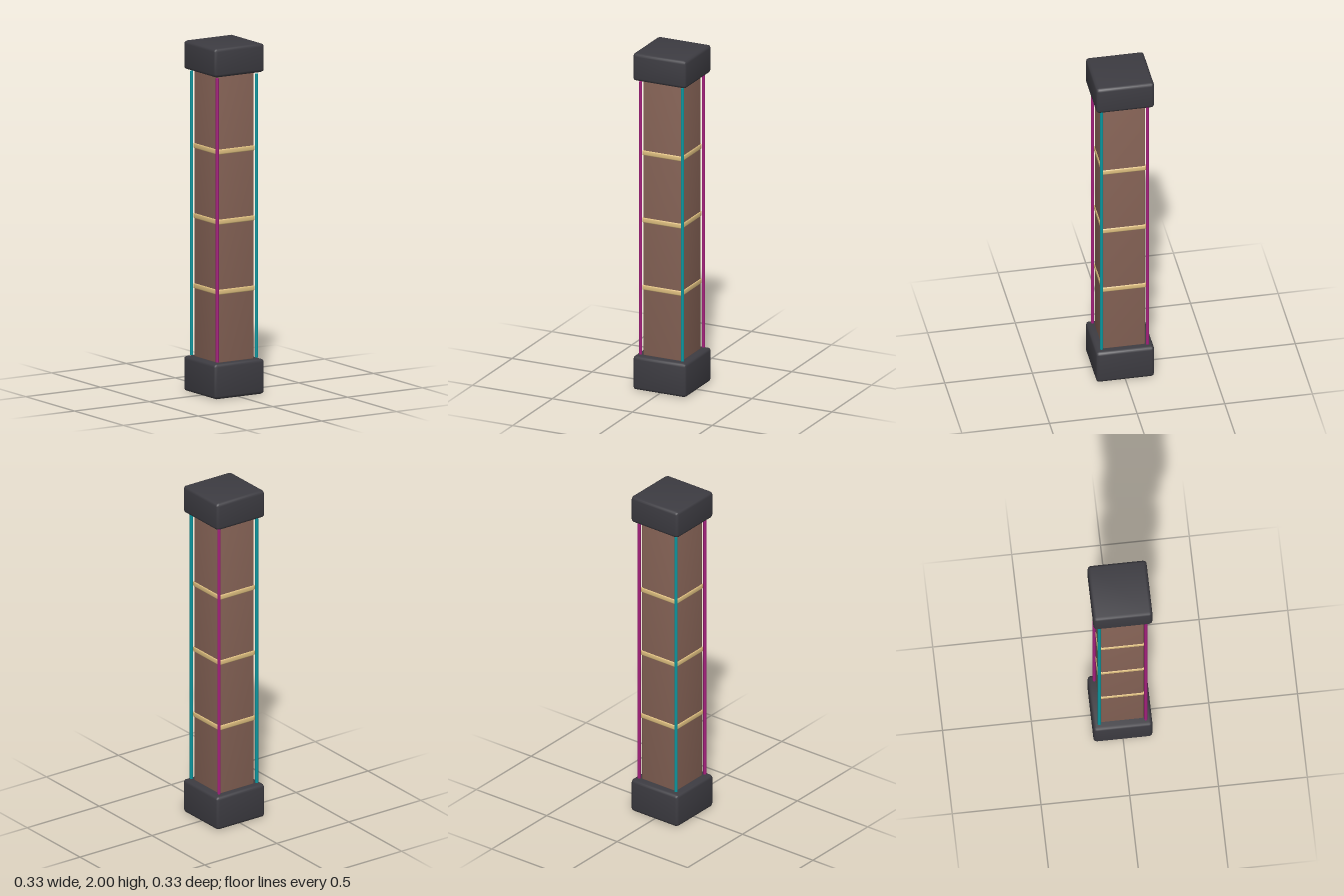
import * as THREE from 'three';
import { RoundedBoxGeometry } from 'three/addons/geometries/RoundedBoxGeometry.js';

const material = (name, color) => {
  const m = new THREE.MeshStandardMaterial({ color });
  m.name = name;
  return m;
};

// Bevelled box whose normals lean outward a little, for soft shading over the faces
function softBox(width, height, radius) {
  const geometry = new RoundedBoxGeometry(width, height, width, 1, radius);
  const { position, normal } = geometry.attributes;
  const lean = 0.12;
  const n = new THREE.Vector3();
  for (let i = 0; i < normal.count; i++) {
    n.fromBufferAttribute(normal, i);
    n.x += lean * Math.sign(position.getX(i));
    n.y += lean * Math.sign(position.getY(i));
    n.z += lean * Math.sign(position.getZ(i));
    n.normalize();
    normal.setXYZ(i, n.x, n.y, n.z);
  }
  return geometry;
}

export function createModel() {
  const charcoal = material('charcoal', 0x3d3c42);
  const brown = material('brown', 0x866356);
  const gold = material('gold', 0xe0c080);
  const teal = material('teal', 0x0a969e);
  const magenta = material('magenta', 0xa3207c);

  const model = new THREE.Group();
  model.name = 'squarePillar';

  // Square block with softened edges, spanning y0 to y1
  const block = (name, width, y0, y1, radius, mat) => {
    const mesh = new THREE.Mesh(softBox(width, y1 - y0, radius), mat);
    mesh.name = name;
    mesh.position.y = (y0 + y1) / 2;
    model.add(mesh);
  };

  // Base, shaft and cap
  block('base', 0.332, 0, 0.2, 0.018, charcoal);
  block('shaft', 0.243, 0.195, 1.842, 0.008, brown);
  block('cap', 0.332, 1.836, 2, 0.018, charcoal);

  // Three narrow bands around the shaft
  [0.602, 1.002, 1.402].forEach((y, i) =>
    block('band' + (i + 1), 0.252, y - 0.016, y + 0.016, 0.008, gold));

  // Corner rods, the same colour on opposite corners
  const rodGeometry = new THREE.CylinderGeometry(0.009, 0.009, 1.62, 12);
  for (const sx of [1, -1]) {
    for (const sz of [1, -1]) {
      const rod = new THREE.Mesh(rodGeometry, sx === sz ? teal : magenta);
      rod.name = (sz > 0 ? 'front' : 'back') + (sx > 0 ? 'Left' : 'Right') + 'Rod';
      rod.position.set(sx * 0.131, 1.016, sz * 0.131);
      model.add(rod);
    }
  }
  return model;
}
